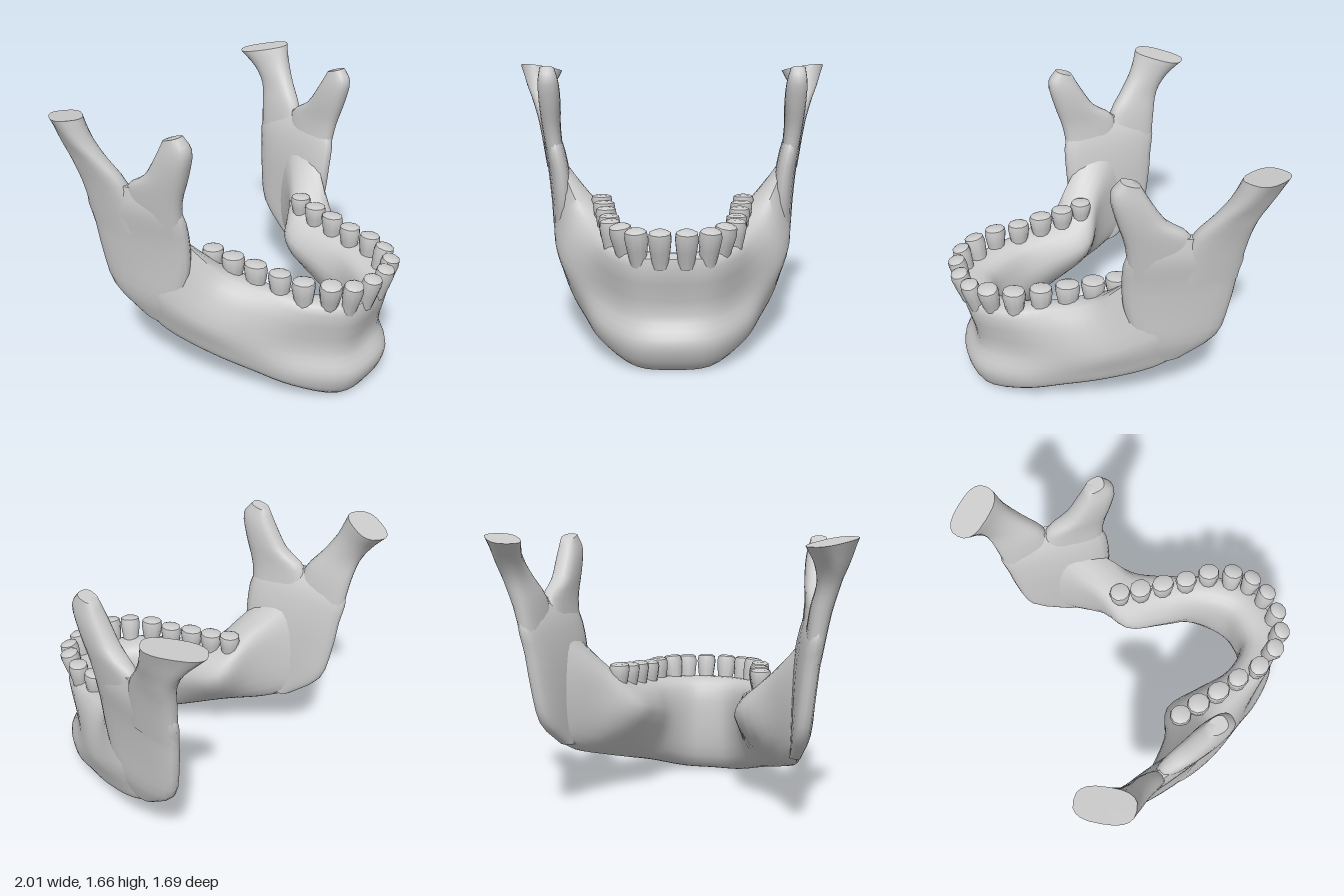
import * as THREE from 'three';
import { toCreasedNormals } from 'three/addons/utils/BufferGeometryUtils.js';

const V = (x, y, z) => new THREE.Vector3(x, y, z);
const material = new THREE.MeshStandardMaterial({ color: 0xcccccc, side: THREE.DoubleSide });

// Skin a list of closed rings, cap both ends and turn the faces outward
function skin(rings, crease = 0.95) {
  const n = rings[0].length;
  const points = rings.flat();
  const faces = [];
  for (let i = 0; i < rings.length - 1; i++) {
    for (let j = 0; j < n; j++) {
      const a = i * n + j, b = i * n + (j + 1) % n;
      faces.push([a, b, a + n], [b, b + n, a + n]);
    }
  }
  const cap = (start, flip) => {
    const centre = V(0, 0, 0);
    for (let j = 0; j < n; j++) centre.addScaledVector(points[start + j], 1 / n);
    const c = points.push(centre) - 1;
    for (let j = 0; j < n; j++) {
      const a = start + j, b = start + (j + 1) % n;
      faces.push(flip ? [c, b, a] : [c, a, b]);
    }
  };
  cap(0, true);
  cap((rings.length - 1) * n, false);
  let volume = 0;
  for (const [a, b, c] of faces) volume += points[a].dot(points[b].clone().cross(points[c]));
  if (volume < 0) faces.forEach((f) => f.reverse());
  const g = new THREE.BufferGeometry().setFromPoints(points);
  g.setIndex(faces.flat());
  return toCreasedNormals(g, crease);
}

function addMesh(parent, name, geometry) {
  const m = new THREE.Mesh(geometry, material);
  m.name = name;
  parent.add(m);
  return m;
}

// Flat oval ring between a front edge point and a back edge point
function bladeRing([fx, fy, fz, bx, by, bz, thick], side) {
  const f = V(fx, fy, fz), b = V(bx, by, bz);
  const mid = f.clone().add(b).multiplyScalar(0.5);
  const half = f.clone().sub(b).multiplyScalar(0.5);
  const across = V(half.z, 0, -half.x).normalize().multiplyScalar(thick / 2);
  const ring = [];
  for (let k = 0; k < 20; k++) {
    const t = (k / 20) * Math.PI * 2;
    const c = Math.cos(t), s = Math.sin(t);
    const p = mid.clone()
      .addScaledVector(half, Math.sign(c) * Math.abs(c) ** 0.75)
      .addScaledVector(across, Math.sign(s) * Math.abs(s) ** 0.75);
    p.x *= side;
    ring.push(p);
  }
  return ring;
}

// Smooth loft through a few blade rings
function blade(sections, side) {
  const control = sections.map((s) => bladeRing(s, side));
  const curves = control[0].map((_, j) => new THREE.CatmullRomCurve3(control.map((r) => r[j])));
  const steps = (sections.length - 1) * 3;
  const rings = [];
  for (let i = 0; i <= steps; i++) rings.push(curves.map((c) => c.getPoint(i / steps)));
  return skin(rings);
}

// Lengthwise rails of the body, from the chin's midline back into the upright branch
const rails = {
  outerTop: [[0, .63, .77], [.2, .63, .73], [.35, .65, .57], [.43, .68, .35], [.52, .74, .11], [.61, .88, -.01], [.71, 1.08, -.16]],
  outerMid: [[0, .31, .715], [.2, .32, .69], [.39, .36, .5], [.54, .43, .3], [.67, .5, .06], [.745, .62, -.18], [.75, .72, -.45]],
  outerLow: [[0, .16, .785], [.22, .16, .74], [.42, .2, .52], [.53, .26, .3], [.64, .35, .05], [.71, .43, -.2], [.71, .52, -.43]],
  bottom: [[0, .005, .7], [.2, .015, .67], [.4, .1, .48], [.5, .17, .27], [.6, .25, .03], [.67, .34, -.22], [.69, .42, -.38]],
  innerLow: [[0, .06, .6], [.14, .07, .57], [.31, .15, .4], [.42, .22, .2], [.5, .3, 0], [.59, .38, -.22], [.69, .48, -.42]],
  innerMid: [[0, .35, .55], [.11, .36, .53], [.22, .42, .38], [.25, .5, .15], [.3, .58, -.09], [.51, .66, -.21], [.72, .74, -.47]],
  innerTop: [[0, .62, .6], [.13, .62, .57], [.26, .64, .4], [.31, .66, .2], [.36, .71, -.05], [.52, .86, -.18], [.71, 1.06, -.34]],
};

function bodyGeometry() {
  const curves = Object.values(rails).map((rail) => {
    const left = rail.map((p) => V(...p));
    const right = rail.slice(1).reverse().map(([x, y, z]) => V(-x, y, z));
    return new THREE.CatmullRomCurve3([...right, ...left]);
  });
  const rings = [];
  for (let i = 0; i <= 48; i++) {
    const section = new THREE.CatmullRomCurve3(curves.map((c) => c.getPoint(i / 48)), true);
    rings.push(section.getPoints(28).slice(0, 28));
  }
  return skin(rings);
}

// Upright branch: front edge xyz, back edge xyz, thickness
const ramus = [
  [.655, .38, -.2, .69, .42, -.39, .06],
  [.68, .54, -.13, .735, .59, -.575, .11],
  [.665, .76, -.05, .765, .82, -.625, .125],
  [.675, .97, -.025, .785, 1.0, -.64, .13],
  [.715, 1.17, -.035, .815, 1.17, -.65, .12],
  [.75, 1.29, -.14, .825, 1.29, -.53, .05],
];
const coronoid = [
  [.7, 1.03, -.05, .745, 1.0, -.36, .1],
  [.73, 1.25, -.02, .775, 1.28, -.37, .115],
  [.735, 1.42, .035, .76, 1.38, -.235, .13],
  [.74, 1.57, .065, .755, 1.5, -.15, .125],
  [.75, 1.64, .015, .755, 1.61, -.085, .09],
];
const condyle = [
  [.755, 1.0, -.3, .785, 1.0, -.64, .1],
  [.8, 1.29, -.36, .825, 1.26, -.66, .12],
  [.85, 1.42, -.45, .855, 1.4, -.685, .125],
  [.91, 1.53, -.52, .84, 1.51, -.745, .15],
  [.97, 1.66, -.575, .785, 1.615, -.83, .18],
];

// Teeth of one side: x, z, base y, width, depth, height, yaw, outward lean
const teeth = [
  [.068, .755, .615, .125, .11, .175, .08, .22],
  [.187, .715, .615, .125, .11, .175, .3, .22],
  [.262, .63, .63, .13, .12, .17, .75, .22],
  [.34, .51, .645, .135, .12, .155, 1.15, .06],
  [.362, .36, .655, .135, .12, .15, 1.4, 0],
  [.39, .21, .68, .145, .12, .145, 1.5, 0],
  [.412, .065, .705, .14, .13, .135, 1.5, 0],
  [.435, -.065, .735, .13, .125, .125, 1.5, 0],
];

function toothGeometry() {
  // Narrow neck, swelling crown, nearly flat biting face
  const profile = [[0, -.2], [.34, -.2], [.37, 0], [.45, .35], [.51, .72], [.47, .93], [.3, 1], [0, .99]];
  return toCreasedNormals(new THREE.LatheGeometry(profile.map(([r, y]) => new THREE.Vector2(r, y)), 10), 0.8);
}

export function createModel() {
  const model = new THREE.Group();
  model.name = 'lowerJaw';
  addMesh(model, 'jawBody', bodyGeometry());

  const tooth = toothGeometry();
  for (const side of [1, -1]) {
    const label = side > 0 ? 'left' : 'right';
    addMesh(model, `${label}Ramus`, blade(ramus, side));
    addMesh(model, `${label}CoronoidProcess`, blade(coronoid, side));
    addMesh(model, `${label}Condyle`, blade(condyle, side));

    const row = new THREE.Group();
    row.name = `${label}Teeth`;
    teeth.forEach(([x, z, y, w, d, h, yaw, lean], i) => {
      const t = addMesh(row, `${label}Tooth${i + 1}`, tooth);
      t.position.set(side * x, y, z);
      t.scale.set(w, h, d);
      t.rotation.set(lean, side * yaw, 0, 'YXZ');
    });
    model.add(row);
  }
  return model;
}
